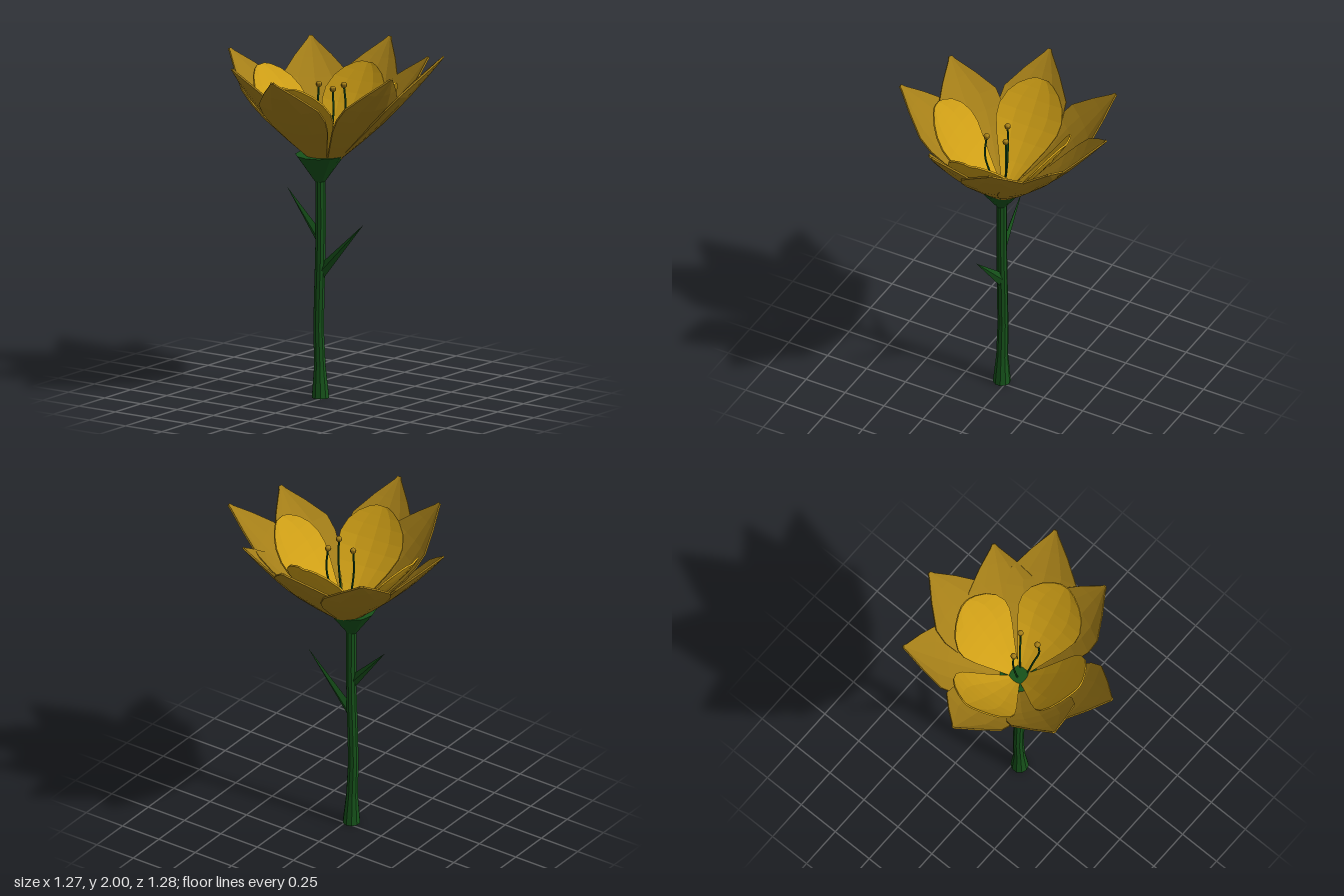
import * as THREE from 'three';

const V = (x, y, z) => new THREE.Vector3(x, y, z);
const mat = (color) => new THREE.MeshStandardMaterial({ color, flatShading: true });
const green = mat(0x16521a), gold = mat(0xa57f18), yellow = mat(0xcf9f16);

// Closed solid through a row of rings (counterclockwise seen from the far end)
function loft(rings) {
  const n = rings[0].length, idx = [], last = (rings.length - 1) * n;
  for (let i = 0; i < rings.length - 1; i++) {
    for (let j = 0; j < n; j++) {
      const a = i * n + j, b = i * n + (j + 1) % n;
      idx.push(a, b, b + n, a, b + n, a + n);
    }
  }
  for (let j = 1; j < n - 1; j++) idx.push(0, j + 1, j, last, last + j, last + j + 1);
  const g = new THREE.BufferGeometry().setFromPoints(rings.flat());
  g.setIndex(idx);
  g.computeVertexNormals();
  return g;
}

// Thin cupped petal from the flower's heart to a tip; profile = [fraction of length, half width]
function petalGeometry(tip, r0, y0, profile, cup, thick) {
  const centre = V(-0.005, 0, 0.01);
  const flat = V(tip.x - centre.x, 0, tip.z - centre.z);
  const u = flat.clone().normalize();
  const start = centre.clone().addScaledVector(u, r0).setY(y0);
  const dir = tip.clone().sub(start).normalize();
  const side = V(u.z, 0, -u.x);
  const normal = dir.clone().cross(side);
  const cols = [-1, -0.5, 0, 0.5, 1];
  return loft(profile.map(([t, w]) => {
    const mid = start.clone().lerp(tip, t).addScaledVector(normal, -0.025 * Math.sin(Math.PI * t));
    const at = (s, h) => mid.clone().addScaledVector(side, s * w)
      .addScaledVector(normal, h + cup * s * s * w);
    return [...cols.map((s) => at(s, -thick)), ...cols.map((s) => at(-s, 0))];
  }));
}

export function createModel() {
  const model = new THREE.Group();
  const add = (name, geometry, material, parent = model) => {
    const mesh = new THREE.Mesh(geometry, material);
    mesh.name = name;
    parent.add(mesh);
    return mesh;
  };
  const group = (name) => {
    const g = new THREE.Group();
    g.name = name;
    model.add(g);
    return g;
  };

  // Gently bent stem with a flared foot: [y, centre x, radius]
  const stem = [[0, -0.023, 0.051], [0.18, -0.027, 0.034], [0.4, -0.036, 0.031], [0.6, -0.031, 0.031],
    [0.8, -0.024, 0.031], [1, -0.021, 0.03], [1.27, -0.022, 0.03]];
  add('stem', loft(stem.map(([y, x, r]) => Array.from({ length: 10 }, (_, i) => {
    const a = i / 10 * Math.PI * 2;
    return V(x + r * Math.sin(a), y, 0.032 + r * Math.cos(a));
  }))), green);

  // Two pointed leaves: sign, base x, base y, tip x, tip y
  const leaves = group('leaves');
  for (const [sgn, x, y, tx, ty] of [[1, -0.005, 0.735, 0.27, 1.03], [-1, -0.035, 0.925, -0.25, 1.18]]) {
    const ring = (cx, cy, h, d) => Array.from({ length: 4 }, (_, i) => {
      const a = sgn * i * Math.PI / 2;
      return V(cx, cy + h * Math.cos(a), 0.032 + d * Math.sin(a));
    });
    add('leaf', loft([ring(x, y, 0.05, 0.018), ring(tx, ty, 0.001, 0.001)]), green, leaves);
  }

  // Cup under the flower
  add('cup', new THREE.CylinderGeometry(0.14, 0.03, 0.155, 12), green).position.set(-0.024, 1.325, 0.035);

  // Eight pointed outer petals
  const outer = group('outerPetals');
  const pointed = [[0, 0.05], [0.2, 0.115], [0.4, 0.175], [0.53, 0.197], [0.66, 0.19], [0.83, 0.105], [0.97, 0.022], [1, 0.01]];
  const tips = [[-0.02, 1.96, -0.635], [0.355, 1.92, -0.48], [0.62, 2, -0.25], [0.56, 1.94, 0.165],
    [0.07, 1.94, 0.63], [-0.29, 1.95, 0.51], [-0.63, 1.94, 0.06], [-0.445, 1.94, -0.465]];
  for (const t of tips) add('outerPetal', petalGeometry(V(...t), 0.08, 1.38, pointed, 0.2, 0.01), gold, outer);

  // Four rounded inner petals
  const inner = group('innerPetals');
  const round = [[0, 0.04], [0.2, 0.1], [0.4, 0.16], [0.55, 0.195], [0.67, 0.2], [0.8, 0.175], [0.9, 0.13], [0.97, 0.075], [1, 0.035]];
  for (const t of [[0, 1.86, -0.39], [0.435, 1.86, -0.02], [0.035, 1.86, 0.42], [-0.455, 1.86, 0.01]]) {
    add('innerPetal', petalGeometry(V(...t), 0.045, 1.4, round, 0.15, 0.01), yellow, inner);
  }

  // Three stamens with round heads
  const stamens = group('stamens');
  for (const [x, z] of [[-0.05, 0.01], [0.08, -0.05], [0.088, 0.068]]) {
    const head = V(x, 1.8, z);
    const curve = new THREE.CatmullRomCurve3([V(x * 0.4, 1.39, 0.01 + z * 0.4), V(x * 0.8, 1.53, z * 0.8),
      V(x * 1.1, 1.67, z * 1.1), head]);
    add('filament', new THREE.TubeGeometry(curve, 10, 0.006, 5), green, stamens);
    add('anther', new THREE.SphereGeometry(0.018, 10, 8), gold, stamens).position.copy(head);
  }
  return model;
}
